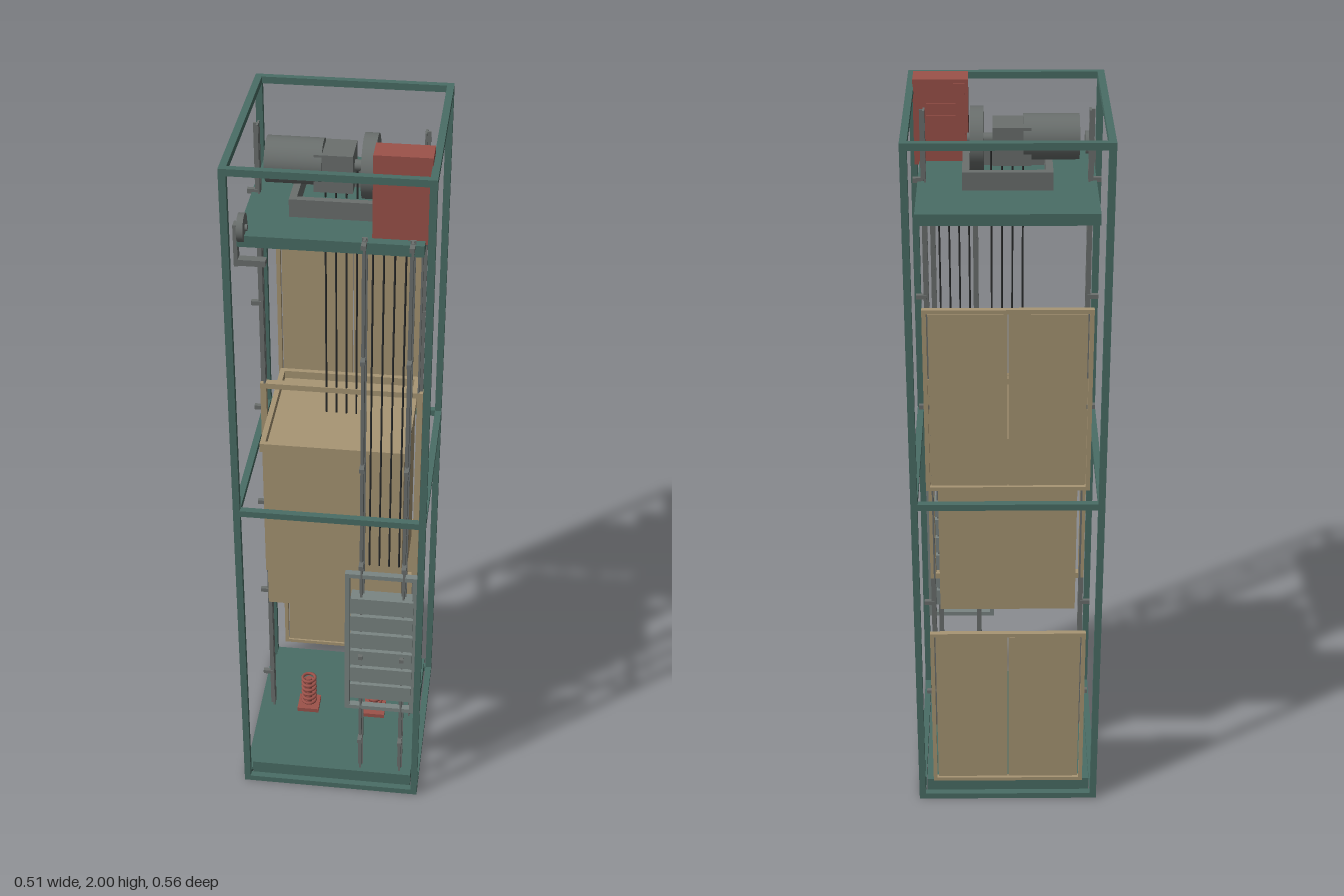
import * as THREE from 'three';

const mat = (color) => new THREE.MeshStandardMaterial({ color });

export function createModel() {
  const root = new THREE.Group();
  const teal = mat(0x4a6e66), tan = mat(0xa89674), red = mat(0x9c524a);
  const grey = mat(0x6b706e), plateGrey = mat(0x7b8583), dark = mat(0x2c2e2e);

  const group = (name, parent = root) => {
    const g = new THREE.Group();
    g.name = name;
    parent.add(g);
    return g;
  };
  const add = (parent, name, geometry, material, x = 0, y = 0, z = 0) => {
    const m = new THREE.Mesh(geometry, material);
    m.name = name;
    m.position.set(x, y, z);
    parent.add(m);
    return m;
  };
  // Box given by its extents on each axis
  const box = (parent, name, material, x0, x1, y0, y1, z0, z1) =>
    add(parent, name, new THREE.BoxGeometry(x1 - x0, y1 - y0, z1 - z0), material,
      (x0 + x1) / 2, (y0 + y1) / 2, (z0 + z1) / 2);
  // Cylinder lying along x
  const cylX = (parent, name, material, r, x0, x1, y, z, sides = 32) => {
    const m = add(parent, name, new THREE.CylinderGeometry(r, r, x1 - x0, sides), material, (x0 + x1) / 2, y, z);
    m.rotation.z = Math.PI / 2;
    return m;
  };
  // Upright rectangular border in the xy plane
  const border = (parent, name, material, x0, x1, y0, y1, z0, z1, t) => {
    box(parent, name, material, x0, x0 + t, y0, y1, z0, z1);
    box(parent, name, material, x1 - t, x1, y0, y1, z0, z1);
    box(parent, name, material, x0 + t, x1 - t, y0, y0 + t, z0, z1);
    box(parent, name, material, x0 + t, x1 - t, y1 - t, y1, z0, z1);
  };
  // Flat rectangular ring in the xz plane
  const ring = (parent, name, material, x0, x1, y0, y1, z0, z1, t) => {
    box(parent, name, material, x0, x0 + t, y0, y1, z0, z1);
    box(parent, name, material, x1 - t, x1, y0, y1, z0, z1);
    box(parent, name, material, x0 + t, x1 - t, y0, y1, z0, z0 + t);
    box(parent, name, material, x0 + t, x1 - t, y0, y1, z1 - t, z1);
  };

  // Shaft frame: corner posts and three rings
  const shaft = group('shaftFrame');
  const T = 0.018, W = 0.254, D = 0.276;
  for (const sx of [-1, 1]) for (const sz of [-1, 1])
    add(shaft, 'cornerPost', new THREE.BoxGeometry(T, 1.98, T), teal, sx * (W - T / 2), 0.99, sz * (D - T / 2));
  for (const y of [0, 0.977, 1.962]) ring(shaft, 'frameRing', teal, -W, W, y, y + T, -D, D, T);
  box(shaft, 'pitFloor', teal, -0.232, 0.232, 0.008, 0.055, -0.255, 0.255);
  box(shaft, 'machinePlatform', teal, -0.225, 0.225, 1.755, 1.785, -0.23, 0.23);

  const bracketYs = [0.18, 0.5, 0.82, 1.14, 1.465, 1.787];

  // Car guide rails with wall brackets
  const rails = group('carGuideRails');
  for (const s of [-1, 1]) {
    add(rails, 'railFlange', new THREE.BoxGeometry(0.005, 1.915, 0.028), grey, s * 0.206, 1.0125, -0.005);
    add(rails, 'railBlade', new THREE.BoxGeometry(0.014, 1.915, 0.006), grey, s * 0.21, 1.0125, -0.005);
    for (const y of bracketYs)
      add(rails, 'railBracket', new THREE.BoxGeometry(0.028, 0.012, 0.012), grey, s * 0.223, y, -0.005);
  }

  // Counterweight guide rails
  const cwRails = group('counterweightRails');
  for (const x of [0.083, 0.198]) {
    add(cwRails, 'railFlange', new THREE.BoxGeometry(0.014, 1.74, 0.005), grey, x, 0.925, 0.222);
    add(cwRails, 'railBlade', new THREE.BoxGeometry(0.006, 1.74, 0.022), grey, x, 0.925, 0.23);
    for (const y of bracketYs)
      add(cwRails, 'railBracket', new THREE.BoxGeometry(0.012, 0.012, 0.024), grey, x, y, 0.249);
  }

  // Counterweight: frame with stacked plates
  const cw = group('counterweight');
  border(cw, 'counterweightFrame', plateGrey, 0.038, 0.235, 0.29, 0.782, 0.223, 0.241, 0.013);
  for (let i = 0; i < 6; i++)
    box(cw, 'weightPlate', plateGrey, 0.054, 0.226, 0.34 + i * 0.0625, 0.392 + i * 0.0625, 0.211, 0.25);

  // Hoist ropes to the car and to the counterweight
  const ropes = group('hoistRopes');
  for (const [cx, z, y0] of [[0, 0.005, 1.145], [0.14, 0.198, 0.785]])
    for (let i = 0; i < 4; i++)
      add(ropes, 'rope', new THREE.CylinderGeometry(0.0025, 0.0025, 1.885 - y0, 8), dark,
        cx + (i - 1.5) * 0.0267, (1.885 + y0) / 2, z);

  // Car: cabin, roof lip and double doors at the back
  const car = group('car');
  box(car, 'cabin', tan, -0.185, 0.185, 0.6, 1.123, -0.183, 0.167);
  ring(car, 'roofLip', tan, -0.195, 0.195, 1.12, 1.146, -0.195, 0.178, 0.014);
  for (const s of [-1, 1])
    add(car, 'carDoor', new THREE.BoxGeometry(0.172, 0.475, 0.007), tan, s * 0.088, 0.848, -0.187);
  border(car, 'carSling', tan, -0.218, 0.218, 0.585, 1.225, -0.01, 0.01, 0.016);

  // Landing doors on two floors
  for (const y of [0.07, 1.04]) {
    const door = group('landingDoor');
    border(door, 'doorFrame', tan, -0.212, 0.212, y, y + 0.515, -0.28, -0.266, 0.011);
    for (const s of [-1, 1])
      add(door, 'doorPanel', new THREE.BoxGeometry(0.196, 0.487, 0.008), tan, s * 0.0995, y + 0.2575, -0.272);
  }

  // Spring buffers in the pit
  for (const x of [-0.1, 0.1]) {
    const buffer = group('buffer');
    box(buffer, 'bufferPlate', red, x - 0.032, x + 0.032, 0.055, 0.068, -0.037, 0.027);
    add(buffer, 'bufferCore', new THREE.CylinderGeometry(0.009, 0.009, 0.1, 16), red, x, 0.115, -0.005);
    for (let i = 0; i < 6; i++)
      add(buffer, 'springCoil', new THREE.TorusGeometry(0.019, 0.0045, 8, 24), red, x, 0.078 + i * 0.0175, -0.005)
        .rotation.x = Math.PI / 2;
  }

  // Hoisting machine
  const machine = group('hoistMachine');
  ring(machine, 'bedplate', grey, -0.114, 0.112, 1.785, 1.832, -0.075, 0.12, 0.018);
  cylX(machine, 'motor', grey, 0.057, -0.18, -0.04, 1.89, 0.023);
  box(machine, 'gearbox', grey, -0.06, 0.036, 1.83, 1.928, -0.025, 0.07);
  cylX(machine, 'shaft', grey, 0.014, 0.03, 0.1, 1.885, 0.023, 20);
  cylX(machine, 'tractionSheave', grey, 0.08, 0.058, 0.092, 1.885, 0.023, 40);

  // Control cabinet with a rear door and louvres
  const cabinet = group('controlCabinet');
  box(cabinet, 'cabinetBody', red, 0.098, 0.238, 1.775, 2, 0.135, 0.204);
  box(cabinet, 'cabinetDoor', red, 0.106, 0.23, 1.785, 1.99, 0.133, 0.136);
  for (const y of [1.9, 1.93])
    box(cabinet, 'louvre', red, 0.13, 0.205, y, y + 0.008, 0.128, 0.134);

  // Overspeed governor
  const gov = group('speedGovernor');
  cylX(gov, 'governorWheel', grey, 0.035, -0.222, -0.206, 1.8, 0.215, 28);
  cylX(gov, 'governorAxle', grey, 0.008, -0.234, -0.2, 1.8, 0.215, 16);
  box(gov, 'governorPost', grey, -0.234, -0.224, 1.7, 1.81, 0.203, 0.228);
  box(gov, 'governorArm', grey, -0.232, -0.157, 1.702, 1.718, 0.205, 0.228);

  return root;
}
